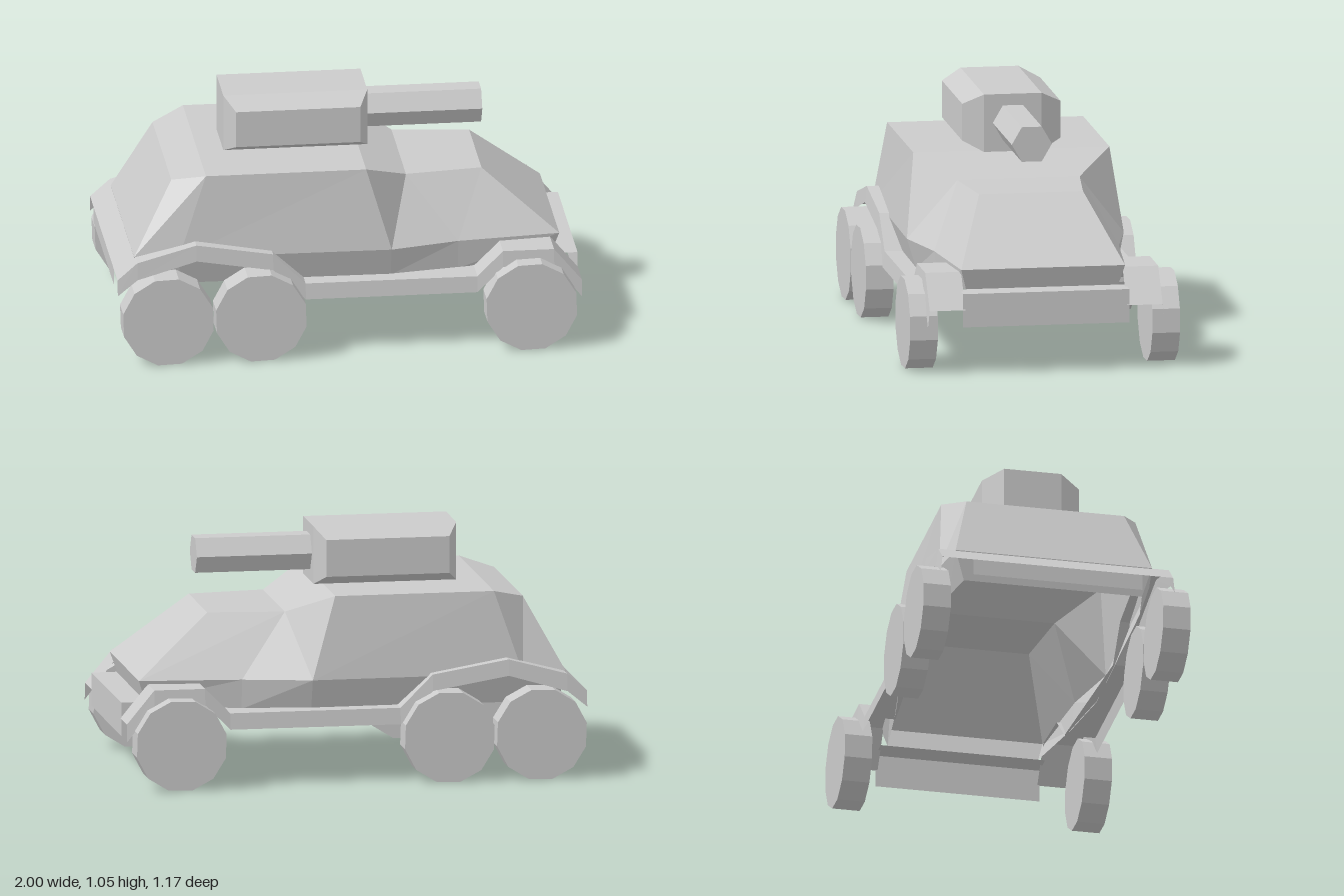
import * as THREE from 'three';

const material = new THREE.MeshStandardMaterial({
  color: 0xcccccc, flatShading: true, side: THREE.DoubleSide,
});

function add(group, name, geometry) {
  const mesh = new THREE.Mesh(geometry, material);
  mesh.name = name;
  group.add(mesh);
  return mesh;
}

// Turns a list of convex polygons into a faceted geometry
function polygons(faces) {
  const pos = [];
  for (const f of faces)
    for (let i = 1; i < f.length - 1; i++) pos.push(...f[0], ...f[i], ...f[i + 1]);
  const g = new THREE.BufferGeometry();
  g.setAttribute('position', new THREE.Float32BufferAttribute(pos, 3));
  g.computeVertexNormals();
  return g;
}

const flip = ([x, y, z]) => [x, y, -z];
// Adds the mirrored copy of each +z face
const mirrored = (faces) => [...faces, ...faces.map((f) => f.map(flip).reverse())];
// Panels spanning the width, along a rear-to-front chain of +z points
const across = (chain) =>
  chain.slice(1).map((q, i) => [chain[i], q, flip(q), flip(chain[i])]);

function hullGeometry() {
  const roofRear = [-0.61, 0.8, 0.425], roofFront = [0.08, 0.8, 0.425];
  const rearTop = [-0.75, 0.76, 0.345];
  const hoodRear = [0.27, 0.71, 0.265], hoodFront = [0.6, 0.71, 0.225];
  // Widest line of the body, rear to front, and the skirt edge below it
  const belt = [[-0.92, 0.445, 0.43], [-0.73, 0.445, 0.46], [0.185, 0.445, 0.47],
    [0.48, 0.445, 0.4], [0.92, 0.445, 0.355]];
  const skirt = [[-0.9, 0.315, 0.39], [-0.72, 0.315, 0.42], [0.185, 0.315, 0.43],
    [0.48, 0.315, 0.385], [0.89, 0.355, 0.33]];
  const [b0, b1, b2, b3, b4] = belt;
  const side = [
    [b0, b1, roofRear, rearTop],
    [b1, b2, roofFront, roofRear],
    [b2, hoodRear, roofFront],
    [b2, b3, hoodRear],
    [b3, b4, hoodFront, hoodRear],
  ];
  for (let i = 0; i < 4; i++) side.push([skirt[i], skirt[i + 1], belt[i + 1], belt[i]]);
  const middle = across([skirt[0], b0, rearTop, roofRear, roofFront,
    hoodRear, hoodFront, b4, skirt[4]]);
  return polygons([...mirrored(side), ...middle]);
}

// One fender: a stepped top strip with a hanging outer lip
function fenderGeometry() {
  // x, top y, lip y, inner z
  const rows = [[-1, 0.37, 0.3, 0.37], [-0.915, 0.445, 0.37, 0.37], [-0.66, 0.515, 0.445, 0.42],
    [-0.33, 0.46, 0.39, 0.42], [-0.19, 0.32, 0.25, 0.42], [0.55, 0.32, 0.25, 0.37],
    [0.66, 0.43, 0.36, 0.36], [0.88, 0.43, 0.36, 0.35], [1, 0.285, 0.21, 0.35]];
  const faces = [];
  for (let i = 1; i < rows.length; i++) {
    const [x0, t0, l0, n0] = rows[i - 1], [x1, t1, l1, n1] = rows[i];
    const z = 0.505, lip = 0.513;
    faces.push([[x0, t0, z], [x1, t1, z], [x1, t1, n1], [x0, t0, n0]]);
    faces.push([[x0, l0, lip], [x1, l1, lip], [x1, t1, z], [x0, t0, z]]);
  }
  return faces;
}

// Turret: a block whose two ends narrow along z
function turretGeometry() {
  const ring = (x0, x1, y0, y1, z) => [[x0, y0, z], [x1, y0, z], [x1, y1, z], [x0, y1, z]];
  const rings = [
    ring(-0.455, 0.08, 0.845, 1.005, 0.213), ring(-0.5, 0.12, 0.8, 1.05, 0.125),
    ring(-0.5, 0.12, 0.8, 1.05, -0.125), ring(-0.455, 0.08, 0.845, 1.005, -0.213),
  ];
  const faces = [rings[0], [...rings[3]].reverse()];
  for (let k = 0; k < 3; k++)
    for (let i = 0; i < 4; i++) {
      const j = (i + 1) % 4;
      faces.push([rings[k + 1][i], rings[k + 1][j], rings[k][j], rings[k][i]]);
    }
  return polygons(faces);
}

export function createModel() {
  const model = new THREE.Group();
  model.name = 'armouredCar';

  add(model, 'hull', hullGeometry());
  add(model, 'fenders', polygons(mirrored(fenderGeometry())));

  // Shelf and hanging panel at each end
  add(model, 'rearPanel', polygons(across([
    [-1, 0.3, 0.37], [-1, 0.37, 0.37], [-0.915, 0.445, 0.37]])));
  add(model, 'frontPanel', polygons(across([
    [0.89, 0.355, 0.36], [0.998, 0.355, 0.36], [0.998, 0.21, 0.36]])));

  add(model, 'turret', turretGeometry());

  // Hexagonal gun barrel pointing forward
  const barrel = new THREE.CylinderGeometry(0.087, 0.087, 0.5, 6).rotateZ(-Math.PI / 2);
  add(model, 'gunBarrel', barrel).position.set(0.37, 0.925, 0);

  // Three twelve-sided wheels per side
  const wheel = new THREE.CylinderGeometry(0.2, 0.2, 0.12, 12)
    .rotateX(Math.PI / 2).rotateZ(THREE.MathUtils.degToRad(17));
  for (const s of [1, -1])
    for (const [name, x] of [['rearWheel', -0.79], ['middleWheel', -0.39], ['frontWheel', 0.775]])
      add(model, (s > 0 ? 'near' : 'far') + name[0].toUpperCase() + name.slice(1), wheel)
        .position.set(x, 0.199, s * 0.525);

  return model;
}
